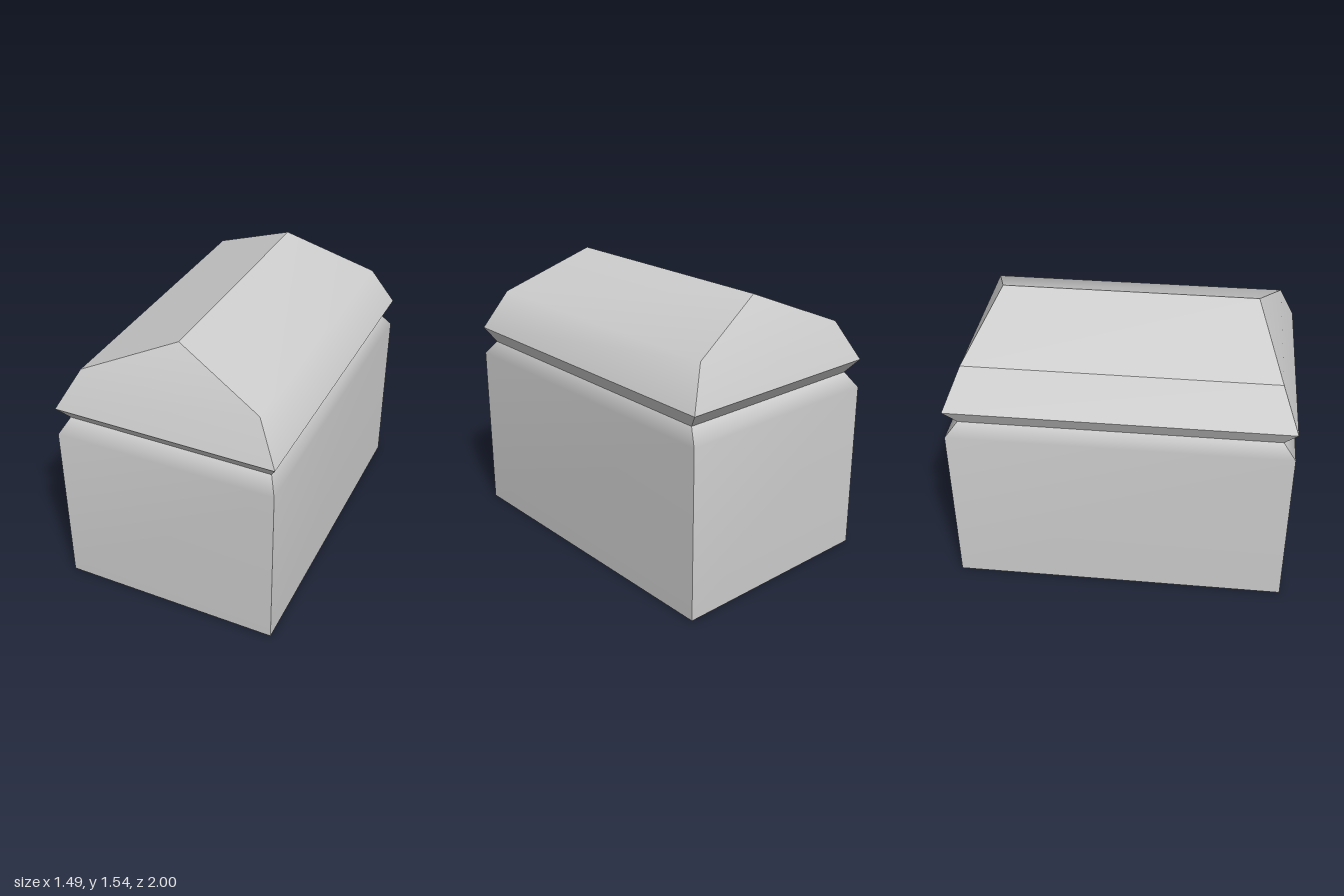
import * as THREE from 'three';

// Rectangular cross-section: half width, height, half depth, as corners running counter-clockwise from front left
const section = (w, y, d) => [[-w, y, d], [w, y, d], [w, y, -d], [-w, y, -d]];

// One smooth patch: rows from bottom to top, points left to right seen from outside
function patch(rows) {
  const points = rows.flat();
  const index = [];
  let start = 0;
  for (let r = 0; r < rows.length - 1; r++) {
    const a = start, b = start + 1, c = start + 2;
    index.push(a, b, c);
    if (rows[r + 1].length === 2) index[index.length - 1] = c + 1, index.push(a, c + 1, c);
    start += 2;
  }
  const geometry = new THREE.BufferGeometry();
  geometry.setAttribute('position', new THREE.Float32BufferAttribute(points.flat(), 3));
  geometry.setIndex(index);
  geometry.computeVertexNormals();
  return geometry;
}

// The strip of one side (0 front, 1 left, 2 back, 3 right) through several sections
function side(sections, i) {
  return patch(sections.map((s) => {
    const p = s[i], q = s[(i + 1) % 4];
    return p[0] === q[0] && p[2] === q[2] ? [p] : [p, q];
  }));
}

export function createModel() {
  const stone = new THREE.MeshStandardMaterial({ color: 0xcccccc });
  stone.name = 'light grey';

  const base = section(0.61, 0, 0.916);
  const shoulder = section(0.61, 0.955, 0.916);
  const groove = section(0.567, 1.035, 0.85);
  const eave = section(0.61, 1.115, 0.916);
  const knee = section(0.491, 1.335, 0.825);
  const ridge = section(0, 1.545, 0.688);

  const model = new THREE.Group();
  model.name = 'gabledBlock';
  const building = new THREE.Group();
  building.name = 'building';
  building.rotation.y = 0.156;
  model.add(building);

  const add = (name, geometry) => {
    const mesh = new THREE.Mesh(geometry, stone);
    mesh.name = name;
    building.add(mesh);
  };

  // Walls with their softened shoulder, and the underside of the eaves
  const names = ['front', 'left', 'back', 'right'];
  names.forEach((name, i) => {
    add(name + 'Wall', side([base, shoulder, groove], i));
    add(name + 'Soffit', side([groove, eave], i));
  });

  // Roof: gables and left slope are smooth, right slope has a sharp fold
  add('frontGable', side([eave, knee, ridge], 0));
  add('backGable', side([eave, knee, ridge], 2));
  add('leftRoofSlope', side([eave, knee, ridge], 1));
  add('rightLowerRoofSlope', side([eave, knee], 3));
  add('rightUpperRoofSlope', side([knee, ridge], 3));

  // Floor, facing down
  add('floor', patch([[base[3], base[2]], [base[0], base[1]]]));
  return model;
}
